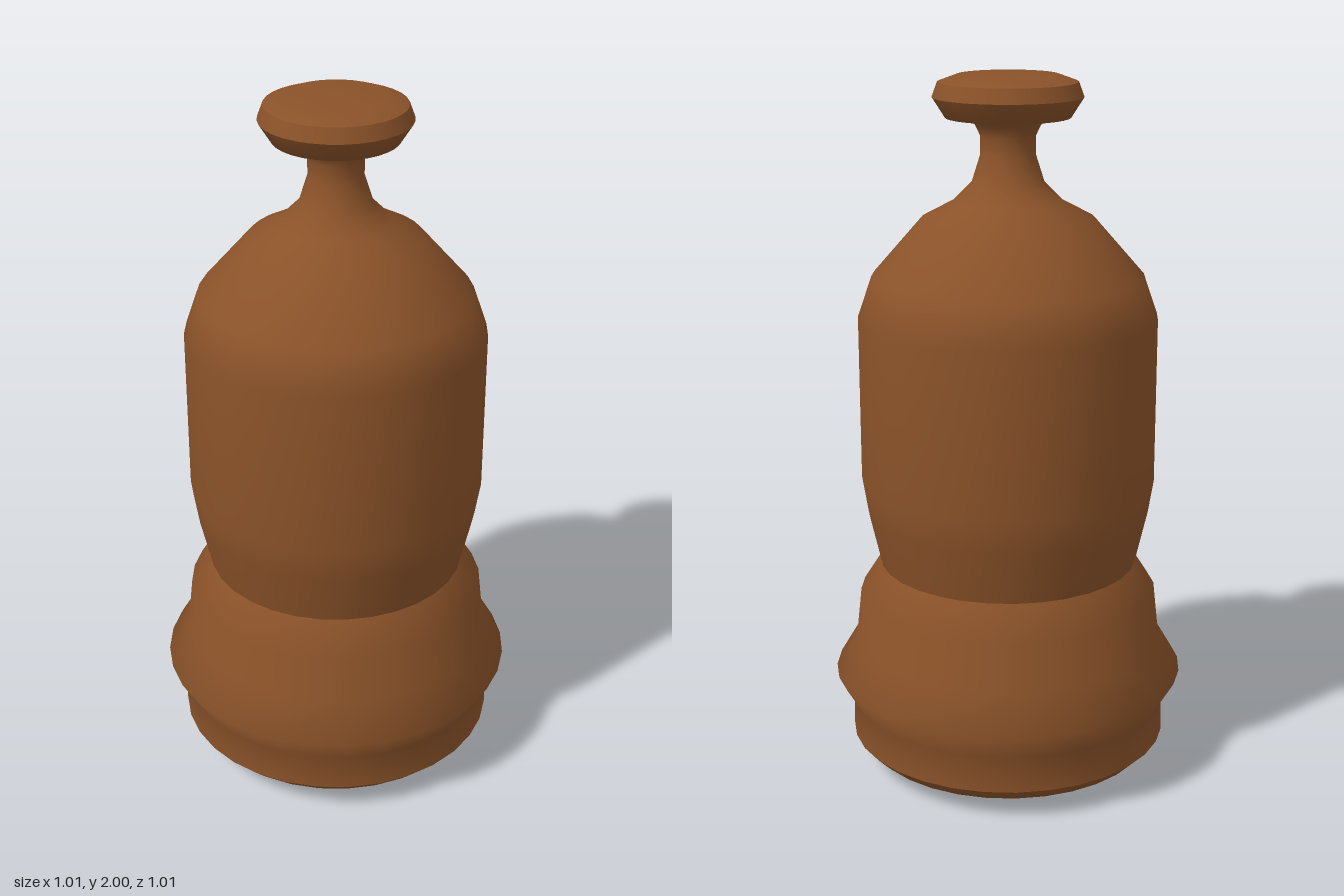
import * as THREE from 'three';

const SEGMENTS = 32;

// Each part is a turned profile of [radius, height] from bottom to top;
// smooth within a part, sharp where two parts meet.
const PARTS = {
  baseRecess: [[0, 0.05], [0.12, 0.05], [0.2, 0.03]],
  baseRecessRim: [[0.2, 0.03], [0.23, 0]],
  baseUnderside: [[0.23, 0], [0.295, 0.003], [0.36, 0.018], [0.42, 0.05], [0.46, 0.09]],
  baseCollar: [[0.46, 0.09], [0.457, 0.195], [0.507, 0.28], [0.445, 0.385], [0.43, 0.52], [0.37, 0.615]],
  body: [
    [0.37, 0.615], [0.405, 0.77], [0.42, 0.865], [0.42, 1.335], [0.38, 1.45], [0.24, 1.61],
    [0.155, 1.655], [0.1, 1.71], [0.076, 1.785], [0.076, 1.835], [0.09, 1.865], [0.115, 1.885],
  ],
  knobUnderside: [[0.115, 1.885], [0.172, 1.885], [0.207, 1.94]],
  knobEdge: [[0.207, 1.94], [0.192, 1.98]],
  knobTop: [[0.192, 1.98], [0.14, 1.999], [0, 2]],
};

export function createModel() {
  const model = new THREE.Group();
  model.name = 'turnedPiece';
  const wood = new THREE.MeshStandardMaterial({ color: 0x8a5229 });
  wood.name = 'brown wood';

  for (const [name, profile] of Object.entries(PARTS)) {
    const points = profile.map(([r, y]) => new THREE.Vector2(r, y));
    const mesh = new THREE.Mesh(new THREE.LatheGeometry(points, SEGMENTS), wood);
    mesh.name = name;
    model.add(mesh);
  }
  return model;
}
